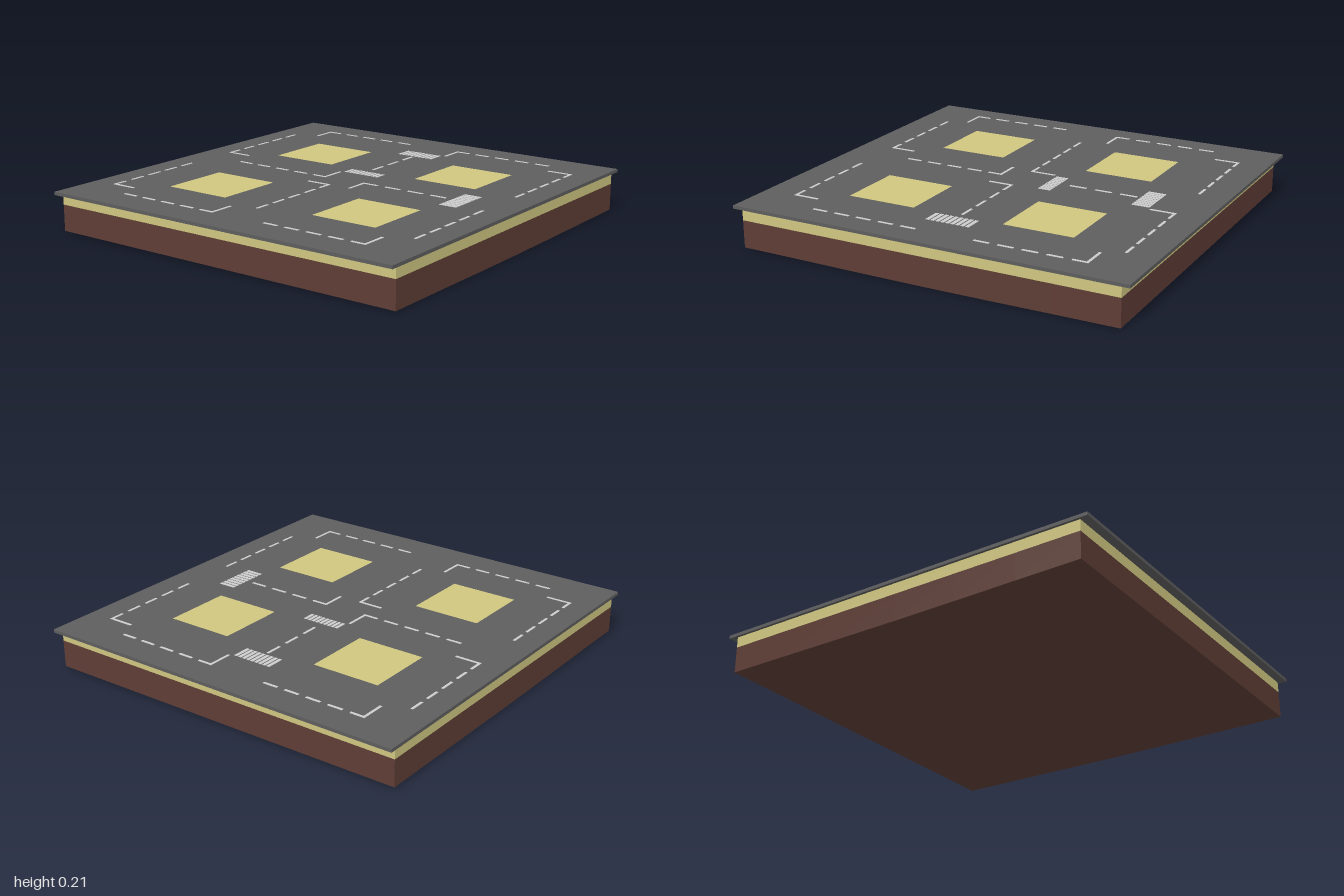
import * as THREE from 'three';

const mat = (name, color) => {
  const m = new THREE.MeshStandardMaterial({ color, flatShading: true });
  m.name = name;
  return m;
};

export function createModel() {
  const asphalt = mat('asphalt grey', 0x5e5e5e);
  const sand = mat('sand yellow', 0xcfc680);
  const soil = mat('soil brown', 0x5e3d35);
  const paint = mat('road paint', 0xcccccc);
  const model = new THREE.Group();
  model.name = 'roadTile';
  const TOP = 0.21;

  const add = (parent, name, geometry, material) => {
    const mesh = new THREE.Mesh(geometry, material);
    mesh.name = name;
    parent.add(mesh);
    return mesh;
  };

  // Soil block with a slightly uneven underside
  const soilGeo = new THREE.BoxGeometry(1.915, 0.14, 1.915, 6, 1, 6);
  const p = soilGeo.attributes.position;
  for (let i = 0; i < p.count; i++) {
    if (p.getY(i) < 0) {
      const x = p.getX(i), z = p.getZ(i);
      p.setY(i, -0.07 + 0.005 * (1 - Math.cos(x * 3)) * 0.5 + 0.0025 * (1 - z));
    }
  }
  soilGeo.translate(0, 0.07, 0);
  soilGeo.computeVertexNormals();
  add(model, 'soilLayer', soilGeo, soil);

  // Sand layer, seen again through the openings in the road
  add(model, 'sandLayer', new THREE.BoxGeometry(1.915, 0.058, 1.915), sand).position.y = 0.169;

  // Road slab with four square openings
  const rect = (path, x0, z0, x1, z1) => {
    path.moveTo(x0, -z0).lineTo(x1, -z0).lineTo(x1, -z1).lineTo(x0, -z1);
    path.closePath();
    return path;
  };
  const outline = rect(new THREE.Shape(), -1, -0.97, 1, 0.97);
  for (const [x0, x1] of [[-0.602, -0.247], [0.22, 0.572]]) {
    for (const [z0, z1] of [[-0.6, -0.25], [0.26, 0.605]]) {
      outline.holes.push(rect(new THREE.Path(), x0, z0, x1, z1));
    }
  }
  const slab = new THREE.ExtrudeGeometry(outline, { depth: 0.016, bevelEnabled: false });
  slab.rotateX(-Math.PI / 2).translate(0, TOP - 0.016, 0);
  add(model, 'roadSlab', slab, asphalt);

  // Thin painted plate between two corners
  const plate = (parent, name, x0, z0, x1, z1) => {
    add(parent, name, new THREE.BoxGeometry(x1 - x0, 0.003, z1 - z0), paint)
      .position.set((x0 + x1) / 2, TOP + 0.0005, (z0 + z1) / 2);
  };
  const W = 0.0065;
  const lines = new THREE.Group();
  lines.name = 'laneMarkings';
  model.add(lines);

  // Dashed lines: [runs along x, fixed coordinate, start, end, dash count]
  const dashed = [
    [true, -0.843, -0.732, -0.18, 5], [true, -0.843, 0.117, 0.668, 5],
    [false, 0.845, -0.73, -0.185, 5], [false, -0.83, -0.674, -0.122, 5],
    [false, -0.008, -0.663, -0.112, 5], [true, -0.006, -0.663, -0.118, 5],
    [false, -0.001, 0.11, 0.583, 4], [true, -0.01, 0.251, 0.604, 3],
    [false, 0.845, 0.115, 0.663, 5], [false, -0.83, 0.171, 0.722, 5],
    [true, 0.837, -0.642, -0.092, 5], [true, 0.837, 0.203, 0.754, 5],
  ];
  for (const [alongX, c, start, end, n] of dashed) {
    const pitch = (end - start) / (n - 0.34);
    for (let i = 0; i < n; i++) {
      const a = start + i * pitch, b = a + pitch * 0.66;
      if (alongX) plate(lines, 'laneDash', a, c - W, b, c + W);
      else plate(lines, 'laneDash', c - W, a, c + W, b);
    }
  }

  // Solid stop lines: [runs along x, fixed coordinate, start, end]
  const stops = [
    [false, -0.726, -0.849, -0.717], [false, 0.123, -0.849, -0.717],
    [true, -0.724, 0.722, 0.852], [true, -0.126, -0.836, -0.703],
    [true, -0.117, -0.014, 0.118], [false, -0.124, -0.132, 0],
    [true, 0.114, -0.123, 0.005], [true, 0.12, 0.722, 0.852],
    [true, 0.716, -0.836, -0.703], [false, 0.748, 0.711, 0.843],
  ];
  for (const [alongX, c, a, b] of stops) {
    if (alongX) plate(lines, 'stopLine', a, c - W, b, c + W);
    else plate(lines, 'stopLine', c - W, a, c + W, b);
  }

  // Striped crossings: [stripes stacked along x, x0, z0, x1, z1]
  const crossings = [
    [false, 0.134, -0.102, 0.198, 0.098],
    [false, 0.62, -0.107, 0.711, 0.098],
    [true, -0.118, 0.62, 0.107, 0.711],
  ];
  for (const [alongX, x0, z0, x1, z1] of crossings) {
    const group = new THREE.Group();
    group.name = 'crossing';
    model.add(group);
    const n = 9, pitch = (alongX ? x1 - x0 : z1 - z0) / (n - 0.28);
    for (let i = 0; i < n; i++) {
      const a = i * pitch, b = a + pitch * 0.72;
      if (alongX) plate(group, 'crossingStripe', x0 + a, z0, x0 + b, z1);
      else plate(group, 'crossingStripe', x0, z0 + a, x1, z0 + b);
    }
  }
  return model;
}
